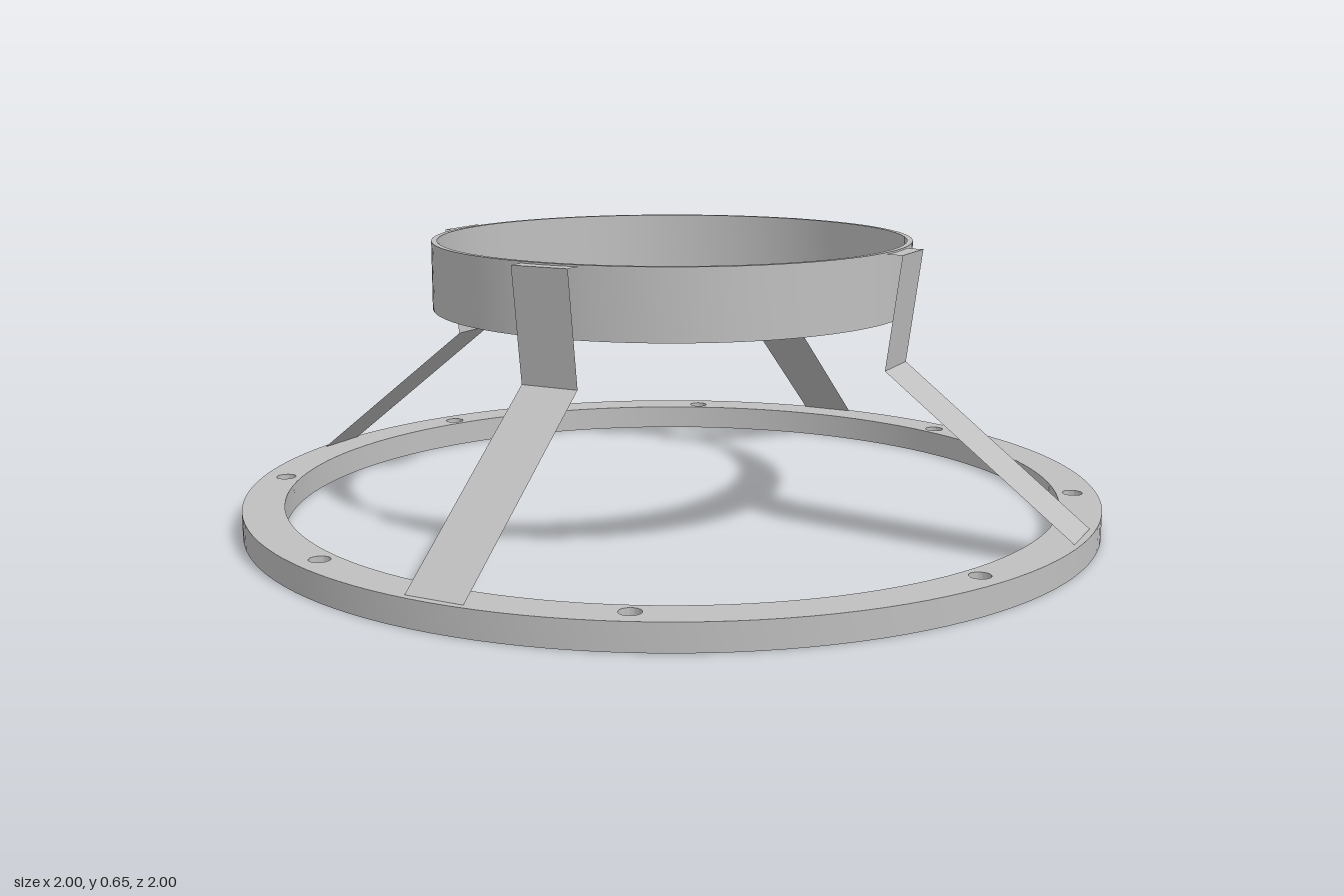
import * as THREE from 'three';
import { toCreasedNormals } from 'three/addons/utils/BufferGeometryUtils.js';

const metal = new THREE.MeshStandardMaterial({ color: 0xbfbfbf, side: THREE.DoubleSide });
metal.name = 'plain grey';

// Flat ring standing on y, with optional round holes through it
function ring(name, outer, inner, y, height, holes = []) {
  const shape = new THREE.Shape().absarc(0, 0, outer, 0, Math.PI * 2);
  shape.holes.push(new THREE.Path().absarc(0, 0, inner, 0, Math.PI * 2, true));
  for (const [x, z, r] of holes) {
    shape.holes.push(new THREE.Path().absarc(x, z, r, 0, Math.PI * 2, true));
  }
  const geo = new THREE.ExtrudeGeometry(shape, { depth: height, bevelEnabled: false, curveSegments: 64 });
  geo.rotateX(-Math.PI / 2).translate(0, y, 0);
  const mesh = new THREE.Mesh(toCreasedNormals(geo, 0.6), metal);
  mesh.name = name;
  return mesh;
}

// Bent sheet strap: top tab, leaning upright, then a long slope down to the base
function strapGeometry(width) {
  const profile = [[0.547, 0.65], [0.59, 0.65], [0.556, 0.395], [0.985, 0.061]]; // radius, height
  const geo = new THREE.PlaneGeometry(width, 1, 1, profile.length - 1);
  const pos = geo.attributes.position;
  for (let i = 0; i < pos.count; i++) {
    const [r, y] = profile[Math.floor(i / 2)];
    pos.setXYZ(i, pos.getX(i), y, r);
  }
  const flat = geo.toNonIndexed();
  flat.computeVertexNormals();
  return flat;
}

export function createModel() {
  const model = new THREE.Group();
  model.name = 'ringStand';

  // Base ring with eight screw holes
  const holes = [];
  for (let i = 0; i < 8; i++) {
    const a = Math.PI / 8 + (i * Math.PI) / 4;
    holes.push([0.944 * Math.cos(a), 0.944 * Math.sin(a), 0.023]);
  }
  model.add(ring('baseRing', 1, 0.905, 0, 0.06, holes));

  // Thin upper collar
  model.add(ring('collar', 0.556, 0.543, 0.498, 0.156));

  // Four straps joining the collar to the base
  const strap = strapGeometry(0.135);
  for (let i = 0; i < 4; i++) {
    const mesh = new THREE.Mesh(strap, metal);
    mesh.name = `strap${i + 1}`;
    mesh.rotation.y = (i * Math.PI) / 2;
    model.add(mesh);
  }
  return model;
}
